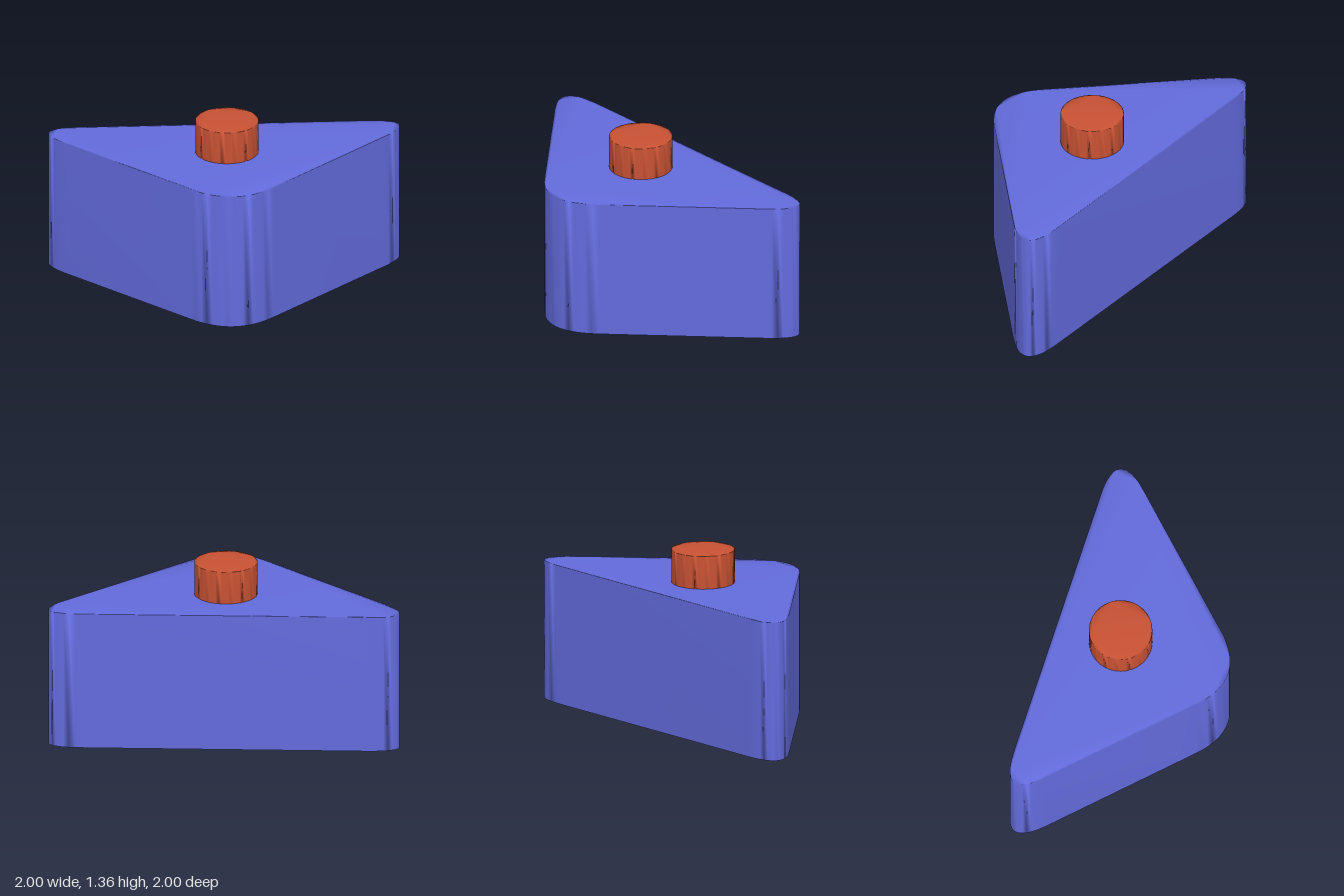
import * as THREE from 'three';
import { mergeVertices } from 'three/addons/utils/BufferGeometryUtils.js';

// Upright prism with normals blended softly over its rims
function softPrism(name, shape, height, color, segments) {
  let geo = new THREE.ExtrudeGeometry(shape, { depth: height, bevelEnabled: false, curveSegments: segments });
  geo.rotateX(-Math.PI / 2);
  geo.deleteAttribute('normal');
  geo.deleteAttribute('uv');
  geo = mergeVertices(geo, 1e-4);
  geo.computeVertexNormals();
  const mesh = new THREE.Mesh(geo, new THREE.MeshStandardMaterial({ color }));
  mesh.name = name;
  return mesh;
}

// Polygon whose corners are rounded by quadratic curves
function roundedPolygon(corners, reach) {
  const shape = new THREE.Shape();
  const pts = corners.map(([x, z]) => new THREE.Vector2(x, -z));
  const toward = (a, b) => a.clone().add(b.clone().sub(a).setLength(reach));
  pts.forEach((p, i) => {
    const start = toward(p, pts[(i + pts.length - 1) % pts.length]);
    const end = toward(p, pts[(i + 1) % pts.length]);
    if (i === 0) shape.moveTo(start.x, start.y);
    else shape.lineTo(start.x, start.y);
    shape.quadraticCurveTo(p.x, p.y, end.x, end.y);
  });
  shape.closePath();
  return shape;
}

export function createModel() {
  const group = new THREE.Group();
  group.name = 'triangularBlockWithPeg';

  // Right-angled triangular block, its right angle at front left
  const outline = roundedPolygon([[-1.187, 1], [1, 1], [1, -1.187]], 0.45);
  group.add(softPrism('triangularBody', outline, 1.1, 0x636bdc, 16));

  // Round peg standing on the flat top
  const circle = new THREE.Shape().absarc(0, 0, 0.245, 0, Math.PI * 2, false);
  const peg = softPrism('topPeg', circle, 0.26, 0xc85234, 32);
  peg.position.set(0.27, 1.1, 0.27);
  group.add(peg);

  return group;
}
